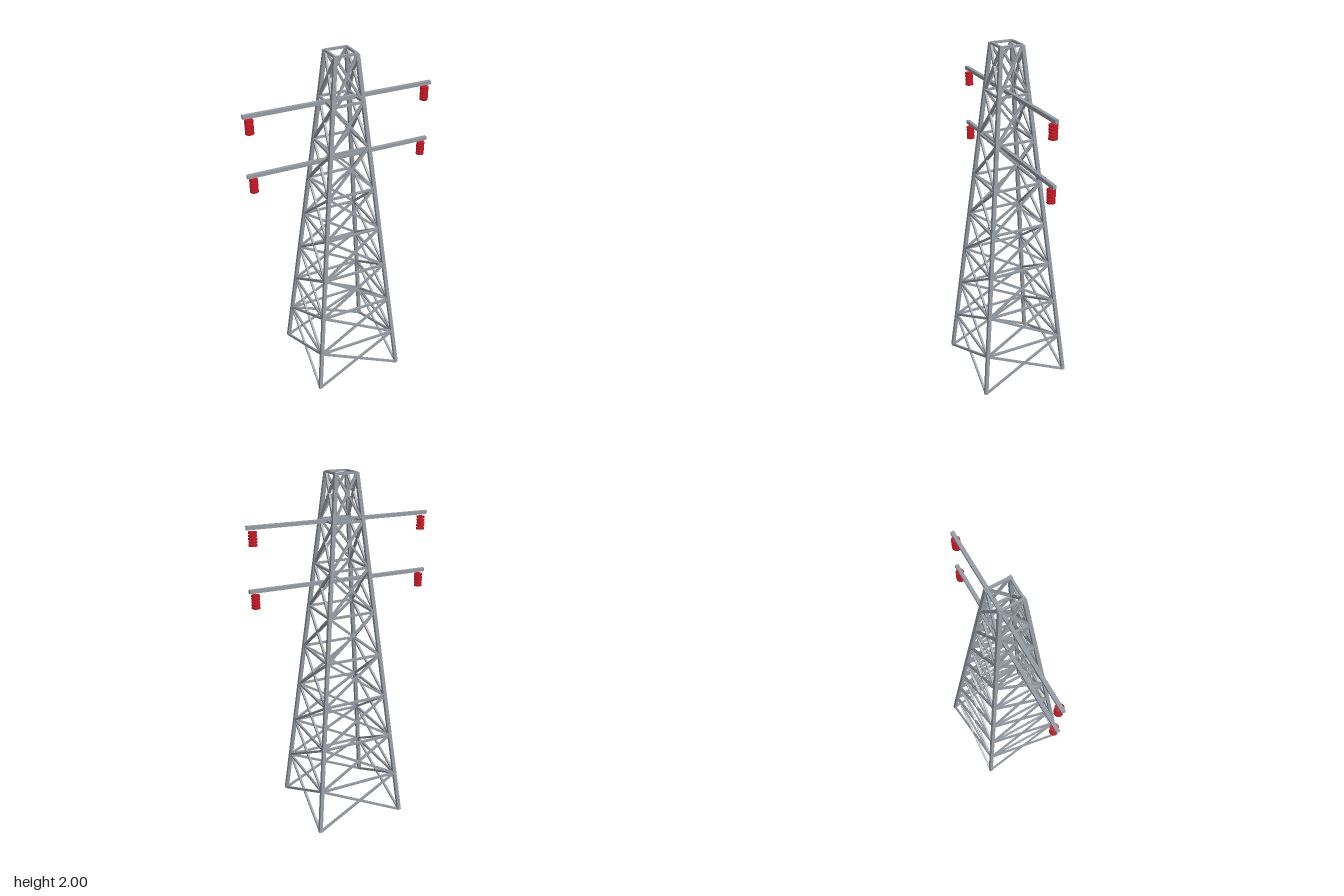
import * as THREE from 'three';

export function createModel() {
  const steel = new THREE.MeshStandardMaterial({ color: 0x969ca4 });
  steel.name = 'galvanised steel';
  const red = new THREE.MeshStandardMaterial({ color: 0xbe1622 });
  red.name = 'insulator red';

  const model = new THREE.Group();
  model.name = 'latticeTower';
  const up = new THREE.Vector3(0, 1, 0);

  // Straight square-section steel bar between two points
  function bar(parent, name, a, b, width) {
    const dir = b.clone().sub(a);
    const mesh = new THREE.Mesh(new THREE.BoxGeometry(width, dir.length(), width), steel);
    mesh.position.copy(a).add(b).multiplyScalar(0.5);
    mesh.quaternion.setFromUnitVectors(up, dir.normalize());
    mesh.name = name;
    parent.add(mesh);
  }

  // Corner joint of the tapering body at a given level
  const BAYS = 8, BASE = 0.262, TOP = 0.06, Y0 = 0.006, Y1 = 1.994;
  const LEG = 0.02, BRACE = 0.012;
  const signs = [[1, 1], [-1, 1], [-1, -1], [1, -1]];
  function joint(level, corner) {
    const t = level / BAYS;
    const h = BASE + (TOP - BASE) * t;
    const [sx, sz] = signs[corner % 4];
    return new THREE.Vector3(sx * h, Y0 + (Y1 - Y0) * t, sz * h);
  }

  for (let c = 0; c < 4; c++) {
    bar(model, 'leg', joint(0, c), joint(BAYS, c), LEG);

    // Bracing on one face: a cross in each bay and a horizontal above it
    const face = new THREE.Group();
    face.name = 'faceBracing';
    for (let i = 0; i < BAYS; i++) {
      bar(face, 'diagonal', joint(i, c), joint(i + 1, c + 1), BRACE);
      bar(face, 'diagonal', joint(i, c + 1), joint(i + 1, c), BRACE);
      bar(face, 'horizontal', joint(i + 1, c), joint(i + 1, c + 1), BRACE);
    }
    model.add(face);
  }

  // Cross arms with a stack of insulator discs under each end
  const discGeometry = new THREE.CylinderGeometry(0.023, 0.023, 0.009, 16);
  for (const y of [1.747, 1.415]) {
    const arm = new THREE.Mesh(new THREE.BoxGeometry(1.062, 0.02, 0.02), steel);
    arm.name = 'crossArm';
    arm.position.y = y;
    model.add(arm);
    for (const side of [-1, 1]) {
      const stack = new THREE.Group();
      stack.name = side > 0 ? 'leftInsulator' : 'rightInsulator';
      stack.position.set(side * 0.498, y, 0);
      for (let i = 0; i < 5; i++) {
        const disc = new THREE.Mesh(discGeometry, red);
        disc.name = 'insulatorDisc';
        disc.position.y = -0.025 - i * 0.0162;
        stack.add(disc);
      }
      model.add(stack);
    }
  }
  return model;
}
